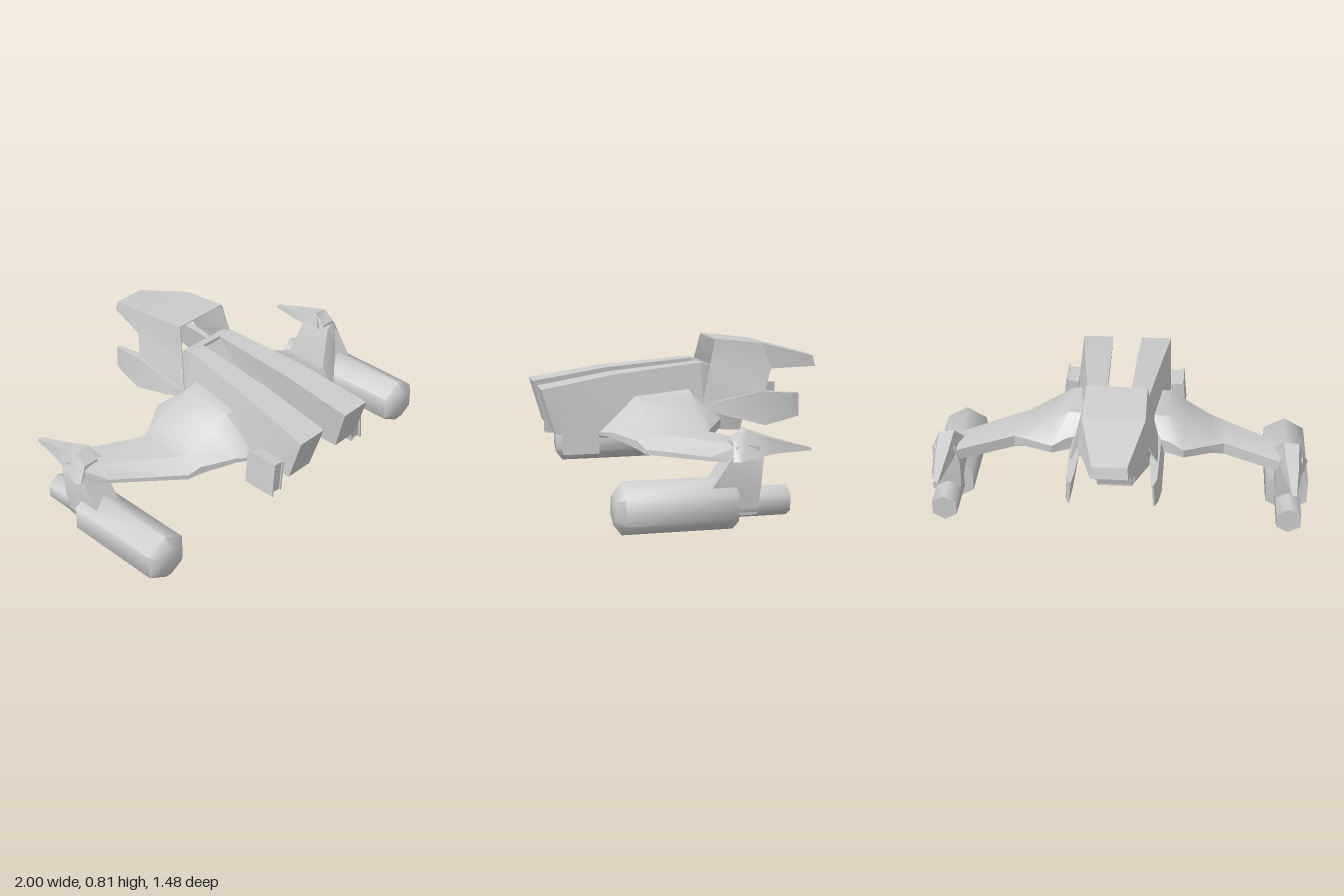
import * as THREE from 'three';
import { toCreasedNormals } from 'three/addons/utils/BufferGeometryUtils.js';

const material = new THREE.MeshStandardMaterial({ color: 0xcccccc, side: THREE.DoubleSide });

// Faces outward (by signed volume), then smooth up to the crease angle
function finish(geometry, crease) {
  const g = geometry.index ? geometry.toNonIndexed() : geometry;
  const p = g.attributes.position;
  const [a, b, c] = [0, 1, 2].map(() => new THREE.Vector3());
  let volume = 0;
  for (let i = 0; i < p.count; i += 3) {
    a.fromBufferAttribute(p, i);
    b.fromBufferAttribute(p, i + 1);
    c.fromBufferAttribute(p, i + 2);
    volume += a.dot(b.cross(c));
  }
  if (volume < 0) {
    for (let i = 0; i < p.count; i += 3) {
      b.fromBufferAttribute(p, i + 1);
      c.fromBufferAttribute(p, i + 2);
      p.setXYZ(i + 1, c.x, c.y, c.z);
      p.setXYZ(i + 2, b.x, b.y, b.z);
    }
  }
  g.computeVertexNormals();
  return toCreasedNormals(g, crease);
}

// Closed solid through rings of [x, y, z]; rings have an even number of points
function loft(rings, side = 1, crease = 0.6) {
  const n = rings[0].length, last = (rings.length - 1) * n;
  const index = [];
  const quad = (a, b, c, d) => index.push(a, b, c, a, c, d);
  for (let r = 0; r < last; r += n) {
    for (let i = 0; i < n; i++) {
      const j = (i + 1) % n;
      quad(r + i, r + j, r + n + j, r + n + i);
    }
  }
  for (let i = 0; i < n / 2 - 1; i++) {
    quad(n - 1 - i, n - 2 - i, i + 1, i);
    quad(last + i, last + i + 1, last + n - 2 - i, last + n - 1 - i);
  }
  const g = new THREE.BufferGeometry();
  const flat = rings.flat().flatMap(([x, y, z]) => [x * side, y, z]);
  g.setAttribute('position', new THREE.Float32BufferAttribute(flat, 3));
  g.setIndex(index);
  return finish(g, crease);
}

// Six-sided pod along z from a profile of [radius, z]
function pod(profile) {
  const g = new THREE.LatheGeometry(profile.map(([r, z]) => new THREE.Vector2(r, z)), 6);
  return finish(g.rotateX(Math.PI / 2), 1.1);
}

function add(parent, name, geometry) {
  const mesh = new THREE.Mesh(geometry, material);
  mesh.name = name;
  parent.add(mesh);
  return mesh;
}

// U-shaped ring: outer arch, then the same arch moved slightly inward
function arch(points) {
  const t = 0.005;
  const mirror = (half) => [...half.map(([x, y, z]) => [-x, y, z]).reverse(), ...half];
  const inner = points.map(([x, y, z], i) => [x - t, i === 0 ? y - t : y, z]);
  return [...mirror(points), ...mirror(inner).reverse()];
}

function buildSide(s) {
  const side = new THREE.Group();
  side.name = s > 0 ? 'leftSide' : 'rightSide';

  // Long forward prong with raked front face
  add(side, 'prong', loft([
    [[0.08, 0.59, 0.735], [0.245, 0.59, 0.735], [0.25, 0.365, 0.67], [0.1, 0.365, 0.67]],
    [[0.07, 0.65, 0.36], [0.205, 0.65, 0.36], [0.26, 0.365, 0.4], [0.1, 0.36, 0.4]],
    [[0.06, 0.69, -0.1], [0.15, 0.69, -0.1], [0.215, 0.365, -0.1], [0.06, 0.355, -0.1]],
  ], s));

  // Wing: domed root flowing into a swept arm; each row is x then z, y pairs
  const wing = [
    [0.18, 0.45, 0.37, 0.26, 0.54, -0.03, 0.56, -0.1, 0.47, -0.1, 0.39, 0.45, 0.355],
    [0.26, 0.45, 0.37, 0.26, 0.535, -0.02, 0.555, -0.12, 0.46, -0.12, 0.39, 0.45, 0.355],
    [0.34, 0.4, 0.38, 0.25, 0.49, -0.02, 0.51, -0.155, 0.43, -0.15, 0.385, 0.4, 0.355],
    [0.49, 0.305, 0.36, 0.21, 0.415, -0.04, 0.425, -0.065, 0.41, -0.06, 0.36, 0.305, 0.32],
    [0.55, 0.28, 0.33, 0.2, 0.4, 0, 0.41, -0.035, 0.405, -0.035, 0.34, 0.28, 0.305],
    [0.85, 0.04, 0.34, -0.02, 0.405, -0.14, 0.41, -0.19, 0.4, -0.19, 0.34, 0.04, 0.32],
    [0.95, -0.05, 0.35, -0.06, 0.4, -0.12, 0.41, -0.17, 0.4, -0.17, 0.34, -0.05, 0.33],
  ].map(([x, ...zy]) => Array.from({ length: 6 }, (_, i) => [x, zy[2 * i + 1], zy[2 * i]]));
  add(side, 'wing', loft(wing, s));

  // Strake running under the wing root
  add(side, 'strake', loft([0.45, -0.1].map((z) => [
    [0.17, 0.37, z], [0.245, 0.37, z], [0.235, 0.335, z], [0.18, 0.335, z],
  ]), s));

  // Backswept spike on the wing tip
  add(side, 'wingSpike', loft([
    [[0.85, 0.42, -0.05], [0.93, 0.42, -0.05], [0.97, 0.335, -0.04], [0.83, 0.335, -0.04]],
    [[0.85, 0.475, -0.11], [0.93, 0.465, -0.11], [0.985, 0.335, -0.07], [0.81, 0.41, -0.06]],
    [[0.865, 0.425, -0.25], [0.925, 0.425, -0.25], [0.94, 0.36, -0.25], [0.85, 0.37, -0.25]],
    [[0.885, 0.373, -0.435], [0.91, 0.373, -0.435], [0.91, 0.362, -0.435], [0.885, 0.362, -0.435]],
  ], s));

  // Pylon down to the engine
  const pylon = [
    [0.42, 0.84, 0.93, -0.08, -0.19],
    [0.34, 0.82, 0.96, -0.03, -0.187],
    [0.21, 0.82, 0.96, 0.06, -0.175],
    [0.08, 0.84, 0.95, -0.02, -0.16],
  ].map(([y, x0, x1, z0, z1]) => [[x0, y, z0], [x1, y, z0], [x1, y, z1], [x0, y, z1]]);
  add(side, 'pylon', loft(pylon, s));

  // Hexagonal engine and its exhaust
  const engine = new THREE.Group();
  engine.name = 'engine';
  engine.position.set(0.89 * s, 0.13, 0);
  add(engine, 'engineBody', pod([[0, -0.06], [0.126, -0.06], [0.126, 0.465], [0.078, 0.503], [0, 0.505]]));
  add(engine, 'exhaust', pod([[0, -0.32], [0.072, -0.32], [0.072, -0.05], [0, -0.05]]));
  side.add(engine);

  // Spool-shaped side block: two plates joined by a core
  const block = new THREE.Group();
  block.name = 'sideBlock';
  block.position.set(0.298 * s, 0.367, 0.555);
  block.rotation.z = 0.09 * s;
  const box = (name, w, h, d, x) =>
    add(block, name, new THREE.BoxGeometry(w, h, d)).position.set(x * s, 0, 0);
  box('outerPlate', 0.008, 0.185, 0.18, 0.031);
  box('innerPlate', 0.008, 0.165, 0.17, -0.031);
  box('core', 0.06, 0.16, 0.155, 0);
  side.add(block);

  // Tail fin at the lower edge of the hood
  add(side, 'tailFin', loft([
    [[0.195, 0.48, -0.09], [0.212, 0.48, -0.09], [0.212, 0.455, -0.09], [0.195, 0.455, -0.09]],
    [[0.2, 0.5, -0.19], [0.225, 0.5, -0.19], [0.243, 0.43, -0.19], [0.21, 0.43, -0.19]],
    [[0.175, 0.54, -0.4], [0.225, 0.54, -0.4], [0.24, 0.365, -0.42], [0.205, 0.365, -0.42]],
    [[0.188, 0.528, -0.555], [0.22, 0.528, -0.555], [0.228, 0.395, -0.555], [0.205, 0.395, -0.555]],
    [[0.195, 0.525, -0.608], [0.205, 0.525, -0.608], [0.212, 0.405, -0.608], [0.205, 0.405, -0.608]],
  ], s));
  return side;
}

export function createModel() {
  const model = new THREE.Group();
  model.name = 'spacecraft';

  // Central ramp between the prongs
  add(model, 'ramp', loft([-0.085, 0.085].map((x) => [
    [x, 0.685, -0.11], [x, 0.36, 0.2], [x, 0.35, 0.2], [x, 0.35, -0.11],
  ])));

  // Body tapering away beneath the hood
  add(model, 'tail', loft([
    [[-0.15, 0.69, -0.1], [0.15, 0.69, -0.1], [0.205, 0.365, -0.1], [-0.205, 0.365, -0.1]],
    [[-0.14, 0.67, -0.16], [0.14, 0.67, -0.16], [0.17, 0.365, -0.2], [-0.17, 0.365, -0.2]],
    [[-0.08, 0.4, -0.35], [0.08, 0.4, -0.35], [0.09, 0.33, -0.33], [-0.09, 0.33, -0.33]],
  ]));

  // Narrow keel below the body
  add(model, 'keel', loft([
    [[-0.1, 0.37, 0.2], [0.1, 0.37, 0.2], [0.1, 0.355, 0.2], [-0.1, 0.355, 0.2]],
    [[-0.1, 0.37, -0.33], [0.1, 0.37, -0.33], [0.09, 0.32, -0.33], [-0.09, 0.32, -0.33]],
  ]));

  // Hood: thin flat-sided shell over the tail, and its overhanging rear canopy
  const front = [[0.153, 0.81, -0.174], [0.17, 0.69, -0.147], [0.19, 0.575, -0.12], [0.212, 0.455, -0.09]];
  const middle = [[0.155, 0.78, -0.43], [0.172, 0.65, -0.47], [0.22, 0.53, -0.42], [0.24, 0.37, -0.42]];
  const rear = [[0.085, 0.702, -0.72], [0.09, 0.645, -0.735]];
  add(model, 'hood', loft([arch(front), arch(middle)], 1, 1));
  add(model, 'canopy', loft([arch(middle.slice(0, 2)), arch(rear)], 1, 1));

  // Plate closing the rear end of the canopy
  add(model, 'canopyEnd', loft([0, 0.005].map((dz) => [
    [-0.085, 0.702, -0.725 + dz], [0.085, 0.702, -0.725 + dz],
    [0.09, 0.645, -0.74 + dz], [-0.09, 0.645, -0.74 + dz],
  ])));

  model.add(buildSide(1), buildSide(-1));
  return model;
}
